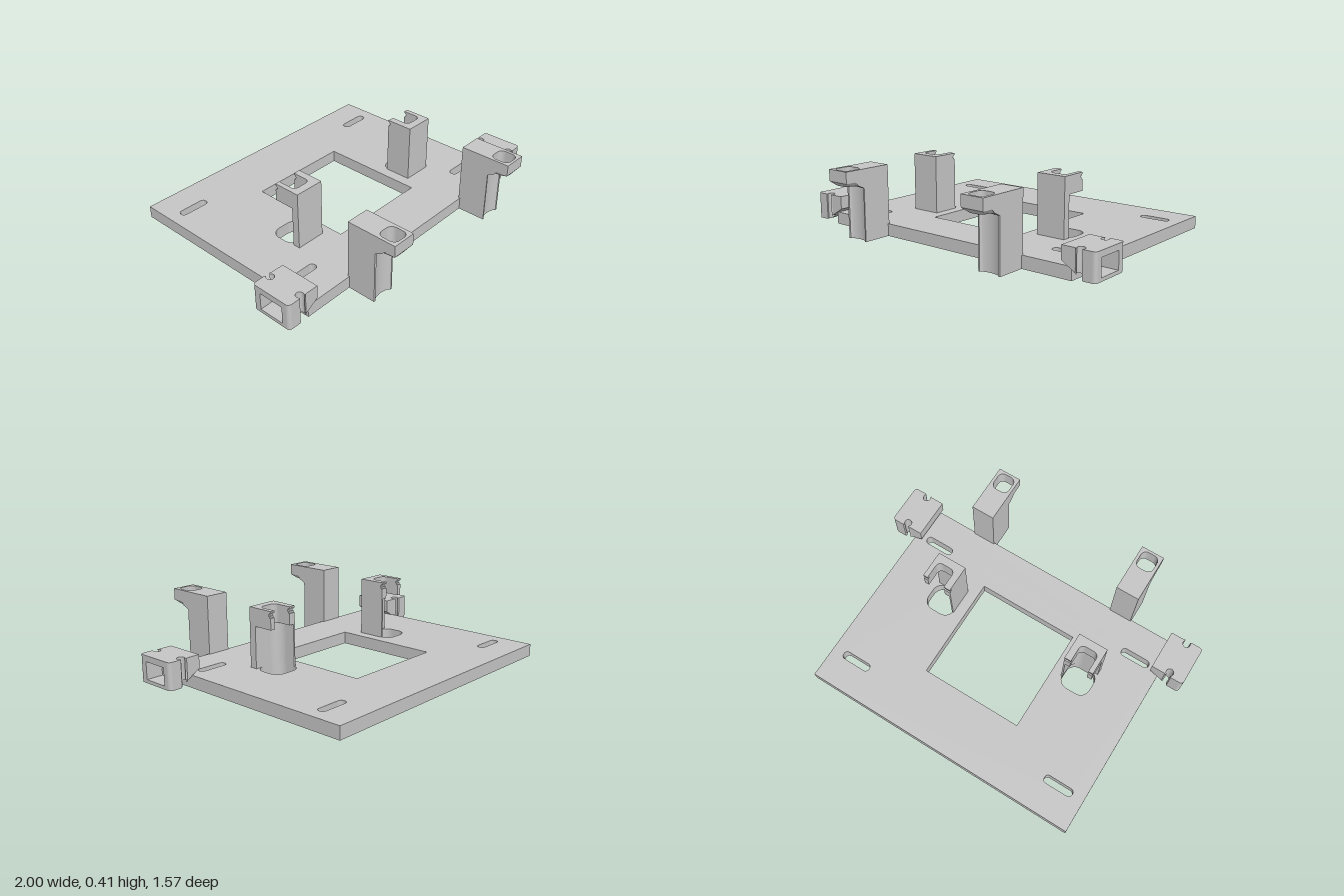
import * as THREE from 'three';

const grey = new THREE.MeshStandardMaterial({ color: 0xc6c6c6 });
grey.name = 'grey plastic';

// Rounded rectangle outline in plan, as [x, z] points
function roundRect(x0, x1, z0, z1, r, n = 8) {
  const pts = [];
  const corners = [[x1 - r, z1 - r], [x0 + r, z1 - r], [x0 + r, z0 + r], [x1 - r, z0 + r]];
  corners.forEach(([cx, cz], k) => {
    for (let i = 0; i <= n; i++) {
      const a = (k + i / n) * Math.PI / 2;
      pts.push([cx + r * Math.cos(a), cz + r * Math.sin(a)]);
    }
  });
  return pts;
}

// Arc points in plan from angle a0 to a1
function arc(cx, cz, r, a0, a1, n = 12) {
  return Array.from({ length: n + 1 }, (_, i) => {
    const a = a0 + (a1 - a0) * i / n;
    return [cx + r * Math.cos(a), cz + r * Math.sin(a)];
  });
}

// Vertical prism from a plan outline; s mirrors x, bottom(x, z) can shape the underside
function prism(name, pts, y0, y1, { s = 1, holes = [], bottom = null } = {}) {
  // outlines run counter-clockwise, holes clockwise, so every wall faces outwards
  const loop = (list, clockwise) => {
    const v = list.map(([x, z]) => new THREE.Vector2(x * s, -z));
    return THREE.ShapeUtils.isClockWise(v) === clockwise ? v : v.reverse();
  };
  const shape = new THREE.Shape(loop(pts, false));
  holes.forEach((h) => shape.holes.push(new THREE.Path(loop(h, true))));
  const geo = new THREE.ExtrudeGeometry(shape, { depth: y1 - y0, bevelEnabled: false });
  geo.rotateX(-Math.PI / 2).translate(0, y0, 0);
  if (bottom) {
    const p = geo.attributes.position;
    for (let i = 0; i < p.count; i++) {
      if (p.getY(i) < y0 + 1e-4) p.setY(i, bottom(Math.abs(p.getX(i)), p.getZ(i)));
    }
    geo.computeVertexNormals();
  }
  const mesh = new THREE.Mesh(geo, grey);
  mesh.name = name;
  return mesh;
}

const rect = (x0, x1, z0, z1) => [[x0, z0], [x1, z0], [x1, z1], [x0, z1]];

// Base plate with window, four slots and two post holes
function basePlate() {
  const holes = [rect(-0.313, 0.31, -0.418, 0.213)];
  for (const s of [-1, 1]) {
    for (const z of [-0.588, 0.295]) holes.push(roundRect(s * 0.69 - 0.09, s * 0.69 + 0.09, z - 0.024, z + 0.024, 0.022));
    holes.push(roundRect(s * 0.47 - 0.09, s * 0.47 + 0.09, -0.078, 0.09, 0.06));
  }
  return prism('basePlate', rect(-0.853, 0.853, -0.782, 0.492), 0, 0.072, { holes });
}

// Rear post: open bored column under a U-shaped head
function rearPost(s) {
  const g = new THREE.Group();
  g.name = 'rearPost';
  g.add(prism('rearPostColumn', [
    [0.375, -0.03], [0.375, 0.133], [0.553, 0.133], [0.553, 0.09],
    ...arc(0.445, 0.03, 0.06, Math.PI / 2, Math.PI), [0.385, -0.03],
  ], 0.07, 0.31, { s }));
  // head in layers, the middle ones set back as a groove
  const layers = [[0.31, 0.375, -0.03], [0.375, 0.385, -0.022], [0.385, 0.395, -0.015], [0.395, 0.403, -0.022], [0.403, 0.413, -0.03]];
  for (const [y0, y1, zb] of layers) {
    g.add(prism('rearPostHead', [
      [0.375, zb], [0.375, 0.133], [0.553, 0.133], [0.553, zb], [0.525, zb],
      ...arc(0.495, 0.055, 0.03, 0, Math.PI / 2, 6),
      ...arc(0.445, 0.055, 0.03, Math.PI / 2, Math.PI, 6), [0.415, zb],
    ], y0, y1, { s }));
  }
  return g;
}

// Front post with a concave face and a forward hook with a hole
function frontPost(s) {
  const g = new THREE.Group();
  g.name = 'frontPost';
  const groove = Array.from({ length: 13 }, (_, i) => {
    const t = i / 12;
    return [0.54 - 0.12 * t, 0.66 - 0.02 * Math.sqrt(Math.sin(Math.PI * t))];
  });
  g.add(prism('frontPostColumn', [[0.412, 0.483], [0.552, 0.483], [0.552, 0.66], ...groove, [0.412, 0.66]], 0, 0.305, { s }));
  g.add(prism('frontPostTop', rect(0.412, 0.552, 0.483, 0.64), 0.305, 0.413, { s }));
  // the hook's underside rises towards the tip and is chamfered round its outer edge
  const underside = (x, z) => {
    const outer = x < 0.42 || x > 0.545 || z > 0.78;
    if (z < 0.665) return 0.305;
    if (z > 0.71) return outer ? 0.347 : 0.325;
    return 0.305 + (z - 0.66) * 0.5;
  };
  g.add(prism('frontPostHook', [
    [0.412, 0.64], [0.412, 0.66], [0.412, 0.7], [0.412, 0.72], [0.412, 0.783],
    [0.552, 0.783], [0.552, 0.72], [0.552, 0.7], [0.552, 0.66], [0.552, 0.64],
  ], 0.305, 0.413, { s, holes: [roundRect(0.43, 0.534, 0.656, 0.768, 0.035)], bottom: underside }));
  return g;
}

// Side clip: two notched cheeks around a pocket that opens outwards
function sideClip(s) {
  const g = new THREE.Group();
  g.name = 'sideClip';
  const slope = (x) => Math.max(0.02, 0.1 - (x - 0.8) * 0.08 / 0.13);
  // neck is the angle, in half turns, at which each notch opens to the edge
  const cheek = (centre, neck) => [
    [0.8, 0.004], [0.88, 0.004], [0.886, 0],
    ...arc(0.905, centre, 0.022, Math.PI * (1 + neck), -Math.PI * neck, 14),
    [0.924, 0], [0.93, 0], ...arc(0.98, 0.02, 0.02, -Math.PI / 2, 0, 5),
    [1, 0.049], [0.93, 0.049], [0.8, 0.049],
  ];
  for (const [edge, dir, centre, neck] of [[0.262, 1, 0.025, 0.32], [0.511, -1, 0.02, 0.24]]) {
    g.add(prism('clipCheek', cheek(centre, neck).map(([x, v]) => [x, edge + dir * v]), 0.02, 0.175, { s, bottom: slope }));
  }
  g.add(prism('clipRoof', rect(0.8, 1, 0.311, 0.462), 0.14, 0.175, { s }));
  g.add(prism('clipCore', rect(0.8, 0.9, 0.311, 0.462), 0.03, 0.14, { s, bottom: slope }));
  g.add(prism('clipFloor', [[0.9, 0.311], [0.93, 0.311], [1, 0.311], [1, 0.462], [0.93, 0.462], [0.9, 0.462]], 0.02, 0.04, { s, bottom: slope }));
  return g;
}

export function createModel() {
  const model = new THREE.Group();
  model.name = 'mountingBracket';
  model.add(basePlate());
  for (const s of [-1, 1]) model.add(rearPost(s), frontPost(s), sideClip(s));
  return model;
}
